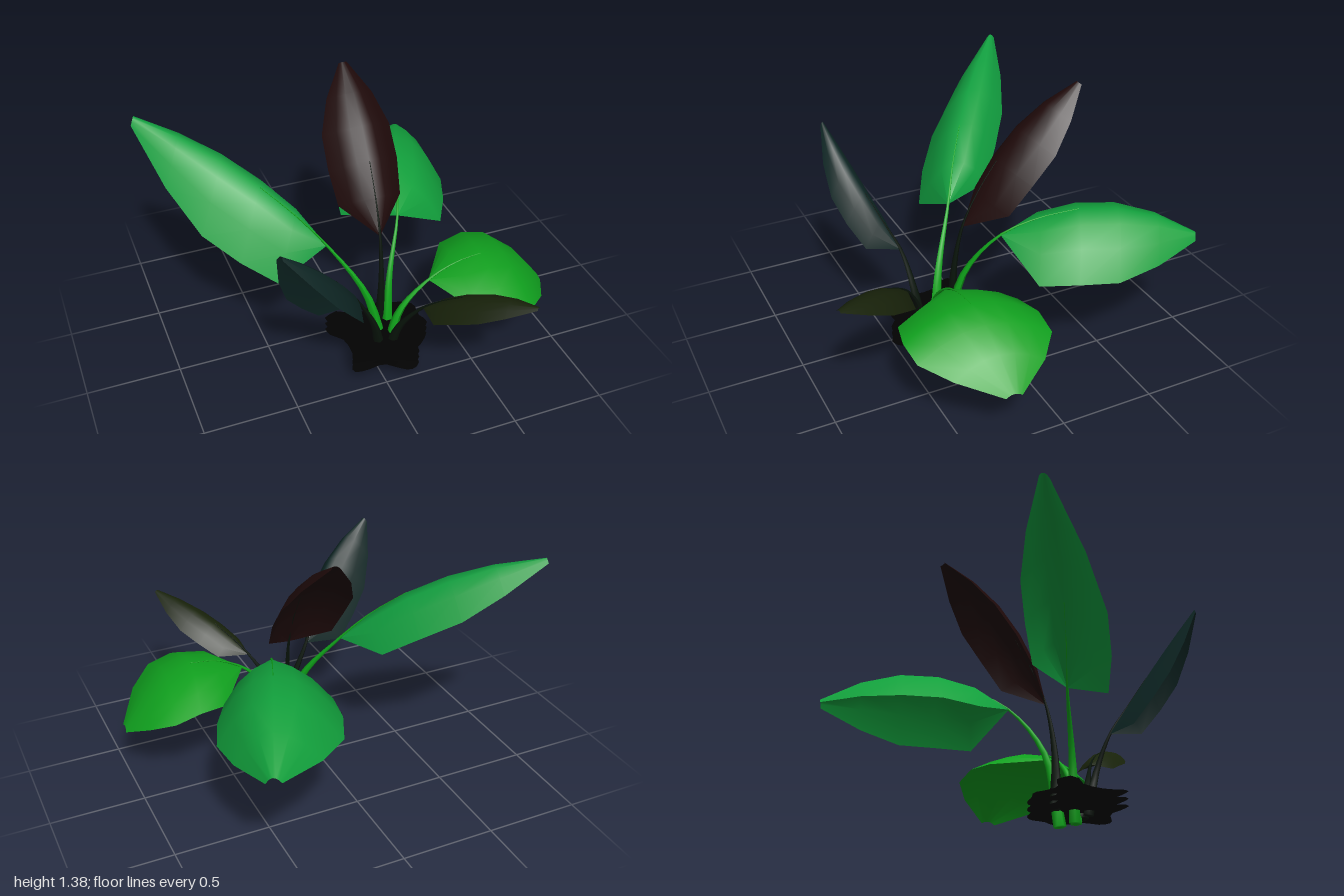
import * as THREE from 'three';

const V = (p) => new THREE.Vector3(...p);
const material = (color) => new THREE.MeshStandardMaterial({ color, side: THREE.DoubleSide });

// Shared half-width of every blade, from its base to its blunt tip
const WIDTHS = [0, 0.9, 1, 0.98, 0.66, 0.12];

// Midrib: one arc through base, crest and tip
function midrib({ base, crest, tip }) {
  const control = V(crest).multiplyScalar(2)
    .addScaledVector(V(base), -0.5).addScaledVector(V(tip), -0.5);
  return new THREE.QuadraticBezierCurve3(V(base), control, V(tip));
}

// Arched blade: both sides droop from the midrib in a parabola
function leafBlade(rib, sideA, sideB) {
  const along = WIDTHS.length - 1, across = 6, pos = [], index = [];
  WIDTHS.forEach((width, i) => {
    for (let j = 0; j <= across; j++) {
      const t = (2 * j) / across - 1;
      const p = rib.getPoint(i / along)
        .addScaledVector(V(sideA), (width * t * (t - 1)) / 2)
        .addScaledVector(V(sideB), (width * t * (t + 1)) / 2);
      pos.push(p.x, p.y, p.z);
      if (i < along && j < across) {
        const k = i * (across + 1) + j, n = k + across + 1;
        index.push(k, k + 1, n, k + 1, n + 1, n);
      }
    }
  });
  const g = new THREE.BufferGeometry();
  g.setAttribute('position', new THREE.Float32BufferAttribute(pos, 3));
  g.setIndex(index);
  g.computeVertexNormals();
  return g;
}

// Tapered stalk with a flat closed foot
function stalk(points, footRadius) {
  const segs = 14, sides = 6, curve = new THREE.CatmullRomCurve3(points);
  const g = new THREE.TubeGeometry(curve, segs, 1, sides);
  const p = g.attributes.position, v = new THREE.Vector3();
  for (let i = 0; i < p.count; i++) {
    const ring = Math.floor(i / (sides + 1)), u = ring / segs;
    const c = curve.getPointAt(u);
    v.fromBufferAttribute(p, i).sub(c);
    const r = ring === 0 ? 0 : 0.002 + footRadius * Math.pow(1 - u, 2);
    if (ring === 1) c.copy(curve.getPointAt(0));
    v.multiplyScalar(r).add(c);
    p.setXYZ(i, v.x, v.y, v.z);
  }
  g.computeVertexNormals();
  return g;
}

// Stalk foot and bend, midrib base, crest and tip, and the reach of both sides
const LEAVES = [
  { name: 'backRightLeaf', color: 0x12a040, pale: true,
    foot: [0.07, 0.03, 0.27], bend: [0, 0.38, 0.21],
    base: [-0.17, 0.66, 0.07], crest: [-0.535, 1.03, -0.2], tip: [-0.98, 1.25, -0.59],
    sideA: [-0.17, -0.33, 0.16], sideB: [0.03, -0.17, -0.21] },
  { name: 'backLeftLeaf', color: 0x12a03c, pale: true,
    foot: [0.12, 0.01, 0.21], bend: [0.16, 0.42, 0.14],
    base: [0.27, 0.68, -0.02], crest: [0.455, 0.82, -0.485], tip: [0.66, 0.66, -0.955],
    sideA: [-0.32, -0.25, -0.12], sideB: [0.25, -0.28, 0.13] },
  { name: 'leftLeaf', color: 0x10a01e, pale: true,
    foot: [0.1, 0.04, 0.3], bend: [0.15, 0.29, 0.3],
    base: [0.31, 0.47, 0.31], crest: [0.68, 0.555, 0.31], tip: [1, 0.29, 0.28],
    sideA: [0.06, -0.11, -0.34], sideB: [0, -0.12, 0.36] },
  { name: 'tallBackLeaf', color: 0x1f0a0a, pale: false,
    foot: [0.09, 0.09, 0.16], bend: [0.1, 0.38, 0.17],
    base: [0.11, 0.68, 0.12], crest: [0.128, 1.105, -0.13], tip: [0.15, 1.39, -0.51],
    sideA: [-0.19, -0.08, -0.11], sideB: [0.2, -0.08, -0.1] },
  { name: 'frontLeftLeaf', color: 0x18220a, pale: false,
    foot: [0.08, 0.07, 0.33], bend: [0.12, 0.28, 0.39],
    base: [0.205, 0.44, 0.475], crest: [0.38, 0.62, 0.685], tip: [0.575, 0.71, 0.965],
    sideA: [0.12, -0.08, -0.05], sideB: [-0.085, -0.09, 0.08] },
  { name: 'frontRightLeaf', color: 0x0e2624, pale: false,
    foot: [0.03, 0.07, 0.33], bend: [-0.01, 0.28, 0.35],
    base: [-0.11, 0.49, 0.38], crest: [-0.33, 0.84, 0.525], tip: [-0.585, 1.09, 0.61],
    sideA: [-0.15, -0.19, -0.08], sideB: [0.04, -0.14, 0.125] },
];

export function createModel() {
  const plant = new THREE.Group();
  plant.name = 'leafyPlant';

  for (const leaf of LEAVES) {
    const group = new THREE.Group();
    group.name = leaf.name;
    const rib = midrib(leaf);
    const blade = new THREE.Mesh(leafBlade(rib, leaf.sideA, leaf.sideB), material(leaf.color));
    blade.name = 'blade';
    // the stalk runs on as a thin rib along the blade
    const path = [V(leaf.foot), V(leaf.bend), ...[0, 0.2, 0.4].map((u) => rib.getPoint(u))];
    const stem = new THREE.Mesh(
      stalk(path, leaf.pale ? 0.038 : 0.034), material(leaf.pale ? 0x0fa51a : 0x08140a));
    stem.name = 'stalk';
    group.add(blade, stem);
    plant.add(group);
  }

  // Stacked flat soil sheets with a lobed outline
  const outline = [
    [-0.19, 0.07], [-0.18, 0.13], [-0.125, 0.2], [-0.125, 0.33], [-0.17, 0.44], [-0.1, 0.46],
    [0, 0.45], [0.06, 0.5], [0.12, 0.54], [0.18, 0.51], [0.2, 0.42], [0.26, 0.37],
    [0.32, 0.3], [0.3, 0.23], [0.31, 0.15], [0.27, 0.1], [0.19, 0.08], [0.12, 0.05],
    [0.04, 0.09], [-0.03, 0.1], [-0.11, 0.04],
  ].map(([x, z]) => new THREE.Vector2(x, z));
  const shape = new THREE.Shape();
  shape.moveTo(outline[0].x, outline[0].y);
  shape.splineThru([...outline.slice(1), outline[0]]);
  const sheet = new THREE.ShapeGeometry(shape, 2).rotateX(Math.PI / 2);
  const soilMaterial = material(0x020202);
  [0.09, 0.13, 0.17].forEach((y, i) => {
    const soil = new THREE.Mesh(sheet, soilMaterial);
    soil.name = `soilSheet${i + 1}`;
    soil.position.y = y;
    plant.add(soil);
  });
  return plant;
}
